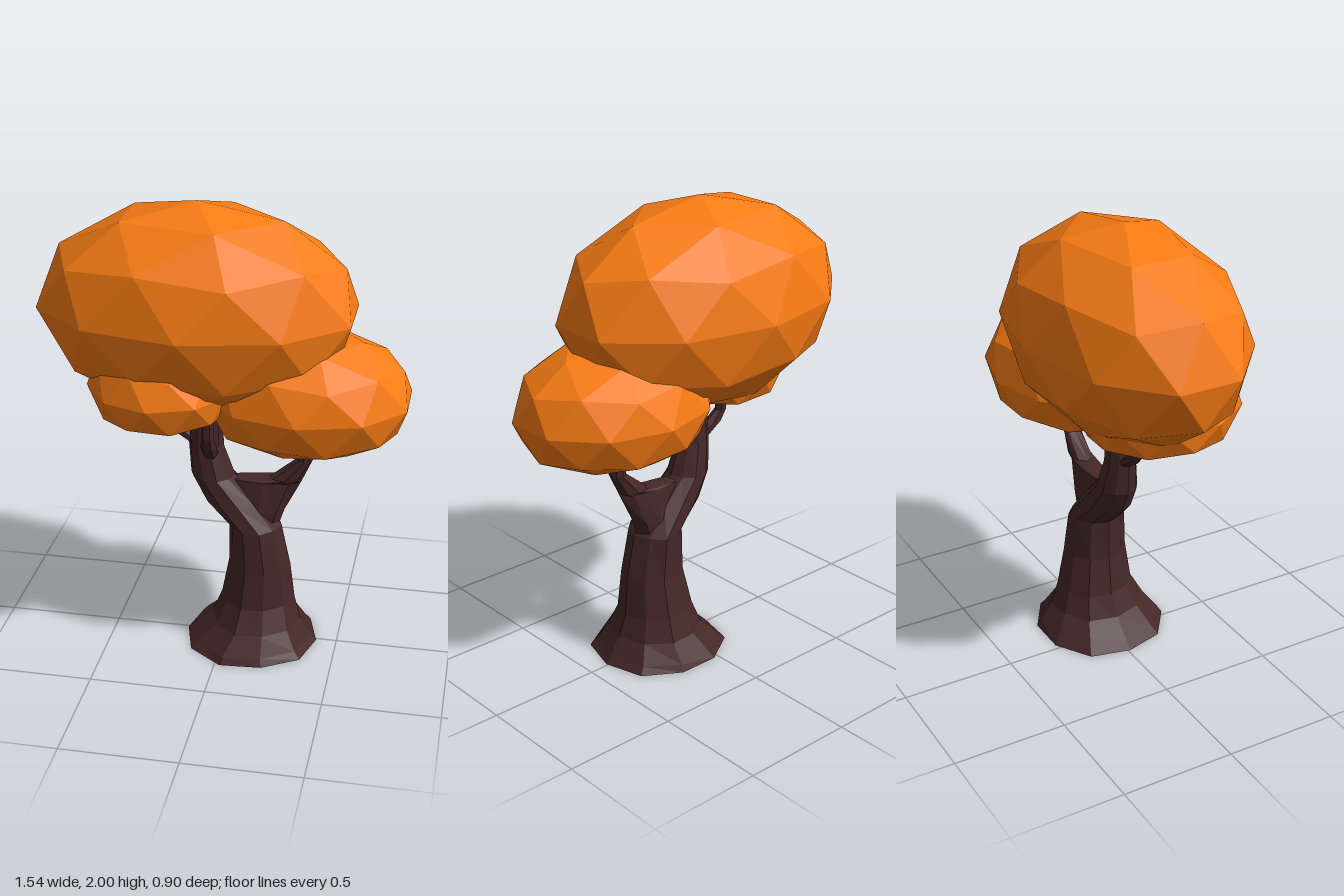
import * as THREE from 'three';

const bark = new THREE.MeshStandardMaterial({ color: 0x452727, flatShading: true });
const leaves = new THREE.MeshStandardMaterial({ color: 0xf97c14, flatShading: true });

// Low-poly limb through horizontal oval rings: [x, y, z, radiusX, radiusZ]
function limb(name, rings, sides, wobble = 0) {
  const pos = [], index = [];
  rings.forEach(([x, y, z, rx, rz], i) => {
    for (let j = 0; j < sides; j++) {
      const a = (j / sides) * Math.PI * 2;
      const k = 1 + wobble * Math.sin(j * 2.3 + i * 0.4);
      pos.push(x + rx * k * Math.cos(a), y, z + rz * k * Math.sin(a));
    }
  });
  const last = rings.length - 1;
  for (let i = 0; i < last; i++) {
    for (let j = 0; j < sides; j++) {
      const a = i * sides + j, b = i * sides + (j + 1) % sides;
      index.push(a, a + sides, b + sides, a, b + sides, b);
    }
  }
  // end caps
  for (let j = 1; j < sides - 1; j++) {
    index.push(0, j, j + 1);
    index.push(last * sides, last * sides + j + 1, last * sides + j);
  }
  const geo = new THREE.BufferGeometry();
  geo.setAttribute('position', new THREE.Float32BufferAttribute(pos, 3));
  geo.setIndex(index);
  const flat = geo.toNonIndexed();
  flat.computeVertexNormals();
  const mesh = new THREE.Mesh(flat, bark);
  mesh.name = name;
  return mesh;
}

// Faceted leaf clump; heights beyond top / bottom are squashed flat
function clump(name, center, radii, top = Infinity, bottom = Infinity) {
  const geo = new THREE.IcosahedronGeometry(1, 1);
  geo.rotateZ(-Math.atan(2 / (1 + Math.sqrt(5)))); // put a corner at the pole
  geo.scale(...radii);
  const p = geo.attributes.position;
  for (let i = 0; i < p.count; i++) {
    let y = p.getY(i);
    if (y > top) y = top + (y - top) * 0.35;
    if (y < -bottom) y = -bottom + (y + bottom) * 0.4;
    p.setY(i, y);
  }
  geo.computeVertexNormals();
  const mesh = new THREE.Mesh(geo, leaves);
  mesh.name = name;
  mesh.position.set(...center);
  return mesh;
}

export function createModel() {
  const tree = new THREE.Group();
  tree.name = 'tree';

  // Flared trunk bending into the main branch
  tree.add(limb('trunk', [
    [0.115, 0, 0.01, 0.295, 0.29],
    [0.118, 0.03, 0.01, 0.265, 0.27],
    [0.137, 0.11, 0.01, 0.195, 0.21],
    [0.143, 0.21, 0, 0.16, 0.165],
    [0.15, 0.38, 0.008, 0.133, 0.137],
    [0.13, 0.57, 0.008, 0.112, 0.125],
    [0.03, 0.68, 0.006, 0.125, 0.105],
    [-0.055, 0.79, 0.005, 0.095, 0.09],
    [-0.085, 0.93, 0.005, 0.075, 0.068],
    [-0.08, 1.2, 0.005, 0.065, 0.05],
  ], 10, 0.03));

  // Forked branch carrying the side clump
  tree.add(limb('sideBranch', [
    [0.13, 0.56, 0, 0.1, 0.07],
    [0.15, 0.64, 0, 0.105, 0.07],
    [0.165, 0.78, 0, 0.16, 0.05],
    [0.26, 0.795, 0, 0.072, 0.05],
    [0.34, 0.89, 0, 0.034, 0.04],
    [0.34, 1.1, 0, 0.03, 0.032],
  ], 8));

  // Small hooked twigs near the top
  tree.add(limb('outerTwig', [
    [-0.12, 0.93, 0, 0.04, 0.03],
    [-0.2, 0.985, 0, 0.042, 0.03],
    [-0.243, 1.03, 0, 0.026, 0.025],
    [-0.25, 1.2, 0, 0.02, 0.02],
  ], 6));
  tree.add(limb('frontTwig', [
    [-0.06, 0.88, 0.03, 0.035, 0.04],
    [-0.06, 0.95, 0.085, 0.035, 0.04],
    [-0.06, 1.0, 0.11, 0.028, 0.026],
    [-0.06, 1.2, 0.115, 0.025, 0.02],
  ], 6));

  // Leaf clumps
  tree.add(clump('mainFoliage', [-0.12, 1.55, 0], [0.685, 0.45, 0.45]));
  tree.add(clump('sideFoliage', [0.345, 1.2, 0.012], [0.447, 0.29, 0.37], 0.24, 0.2));
  tree.add(clump('frontFoliage', [-0.245, 1.25, 0.09], [0.32, 0.24, 0.355], 0.2, 0.12));

  return tree;
}
